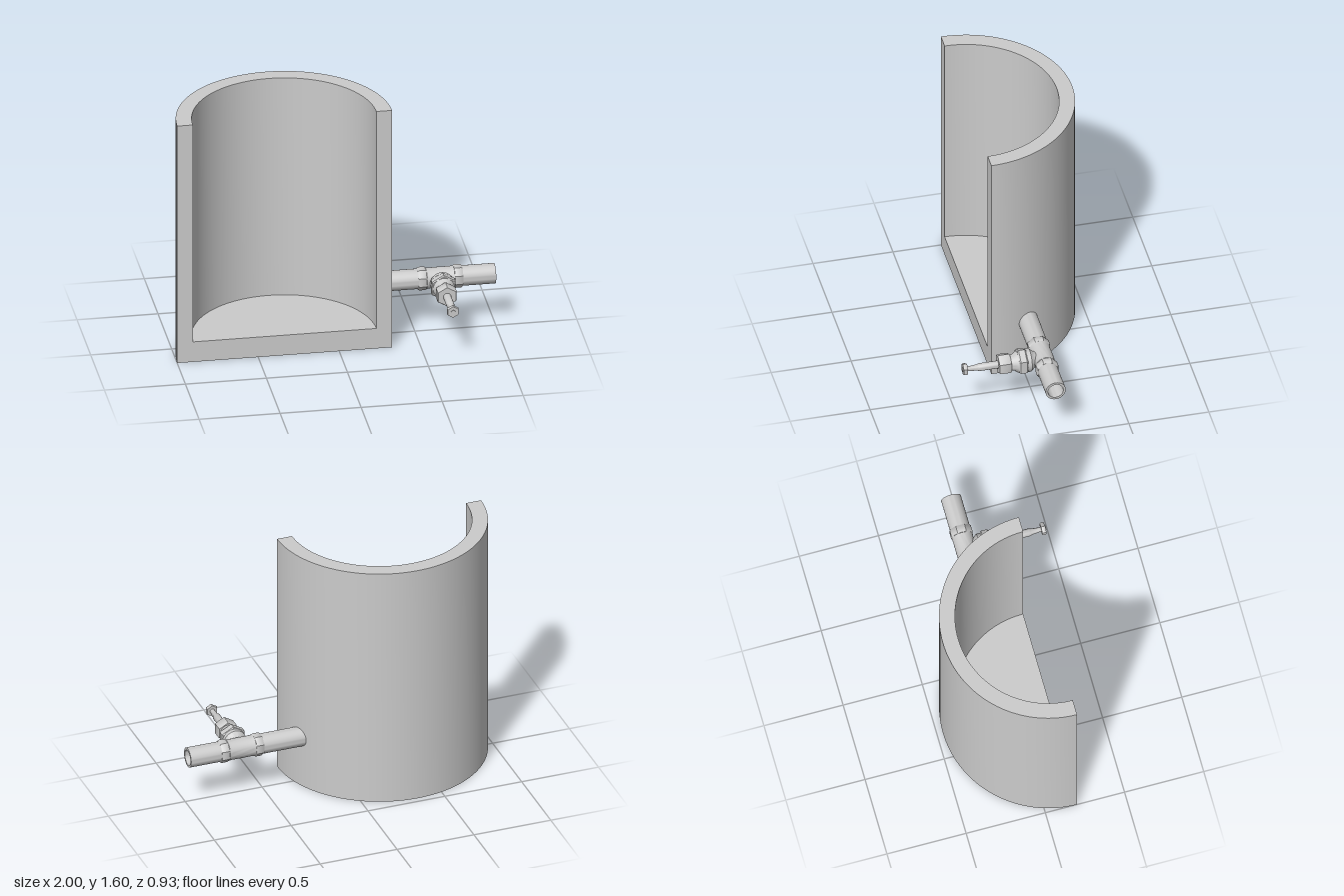
import * as THREE from 'three';
import { toCreasedNormals } from 'three/addons/utils/BufferGeometryUtils.js';

const R = 0.663, r = 0.566, H = 1.6, FLOOR = 0.135; // tank radii, height, floor
const CX = -0.337, CZ = 0.2;                        // tank axis
const PY = 0.332, PZ = -0.042, VX = 0.66;           // pipe axis and valve position

const material = new THREE.MeshStandardMaterial({ color: 0xcccccc });

// Turned part from [radius, distance along axis] pairs, outer side listed upwards
function turned(profile, sides, start = 0, sweep = Math.PI * 2) {
  const points = profile.map(([a, b]) => new THREE.Vector2(a, b));
  return toCreasedNormals(new THREE.LatheGeometry(points, sides, start, sweep), 0.6);
}

// Nut blank with small chamfers; a bore of 0 makes it solid
function nut(radius, from, to, sides, bore = 0) {
  const c = 0.008, k = radius * 0.92;
  return turned([[bore, from], [k, from], [radius, from + c], [radius, to - c], [k, to], [bore, to]],
    sides, sides === 8 ? Math.PI / 8 : 0);
}

export function createModel() {
  const model = new THREE.Group();
  const add = (name, geometry, parent = model) => {
    const mesh = new THREE.Mesh(geometry, material);
    mesh.name = name;
    parent.add(mesh);
    return mesh;
  };

  // Halved tank: half-turned shell closed by a U-shaped cut face
  const tank = new THREE.Group();
  tank.name = 'tank';
  tank.position.set(CX, 0, CZ);
  model.add(tank);
  add('tankShell', turned([[0, 0], [R, 0], [R, H], [r, H], [r, FLOOR], [0, FLOOR]],
    72, Math.PI / 2, Math.PI), tank);
  const cut = new THREE.Shape([[-R, 0], [R, 0], [R, H], [r, H], [r, FLOOR], [-r, FLOOR], [-r, H], [-R, H]]
    .map(([x, y]) => new THREE.Vector2(x, y)));
  add('tankCutFace', new THREE.ShapeGeometry(cut), tank);

  // Outlet pipe, running along +x from inside the tank wall
  const alongX = (name, geometry) => {
    add(name, geometry.rotateZ(-Math.PI / 2)).position.set(0, PY, PZ);
  };
  alongX('outletPipe', turned([[0.048, 0.23], [0.0625, 0.23], [0.0625, 1], [0.048, 1], [0.048, 0.23]], 40));

  // Valve body with an octagonal end on either side
  alongX('valveBody', turned([[0.055, VX - 0.1], [0.066, VX - 0.085], [0.0635, VX - 0.065],
    [0.0645, VX], [0.0635, VX + 0.065], [0.066, VX + 0.085], [0.055, VX + 0.1]], 40));
  for (const [side, name] of [[-1, 'innerPipeNut'], [1, 'outerPipeNut']]) {
    const mid = VX + side * 0.111;
    alongX(name, nut(0.072, mid - 0.027, mid + 0.027, 8, 0.055));
  }

  // Bonnet and spindle, pointing forward along +z
  const alongZ = (name, geometry) => {
    add(name, geometry.rotateX(Math.PI / 2)).position.set(VX, PY, 0);
  };
  alongZ('valvePlug', turned([[0, -0.085], [0.02, -0.085], [0.038, -0.04], [0.038, 0.03], [0, 0.03]], 24));
  alongZ('branchCollar', turned([[0, 0], [0.045, 0], [0.05, 0.015], [0.06, 0.027],
    [0.072, 0.04], [0.072, 0.066], [0, 0.066]], 40));
  alongZ('bonnetNut', nut(0.084, 0.064, 0.118, 6));
  alongZ('bonnetNeck', turned([[0, 0.11], [0.068, 0.11], [0.066, 0.122], [0.052, 0.142],
    [0.047, 0.168], [0, 0.168]], 40));
  alongZ('glandNut', nut(0.067, 0.164, 0.239, 6));
  alongZ('spindle', turned([[0, 0.23], [0.024, 0.23], [0.024, 0.36], [0.02, 0.367],
    [0.015, 0.415], [0.015, 0.452], [0, 0.452]], 24));
  alongZ('spindleEndNut', nut(0.04, 0.432, 0.458, 6));
  alongZ('spindleTip', turned([[0, 0.45], [0.014, 0.45], [0.014, 0.463], [0, 0.463]], 20));

  return model;
}
